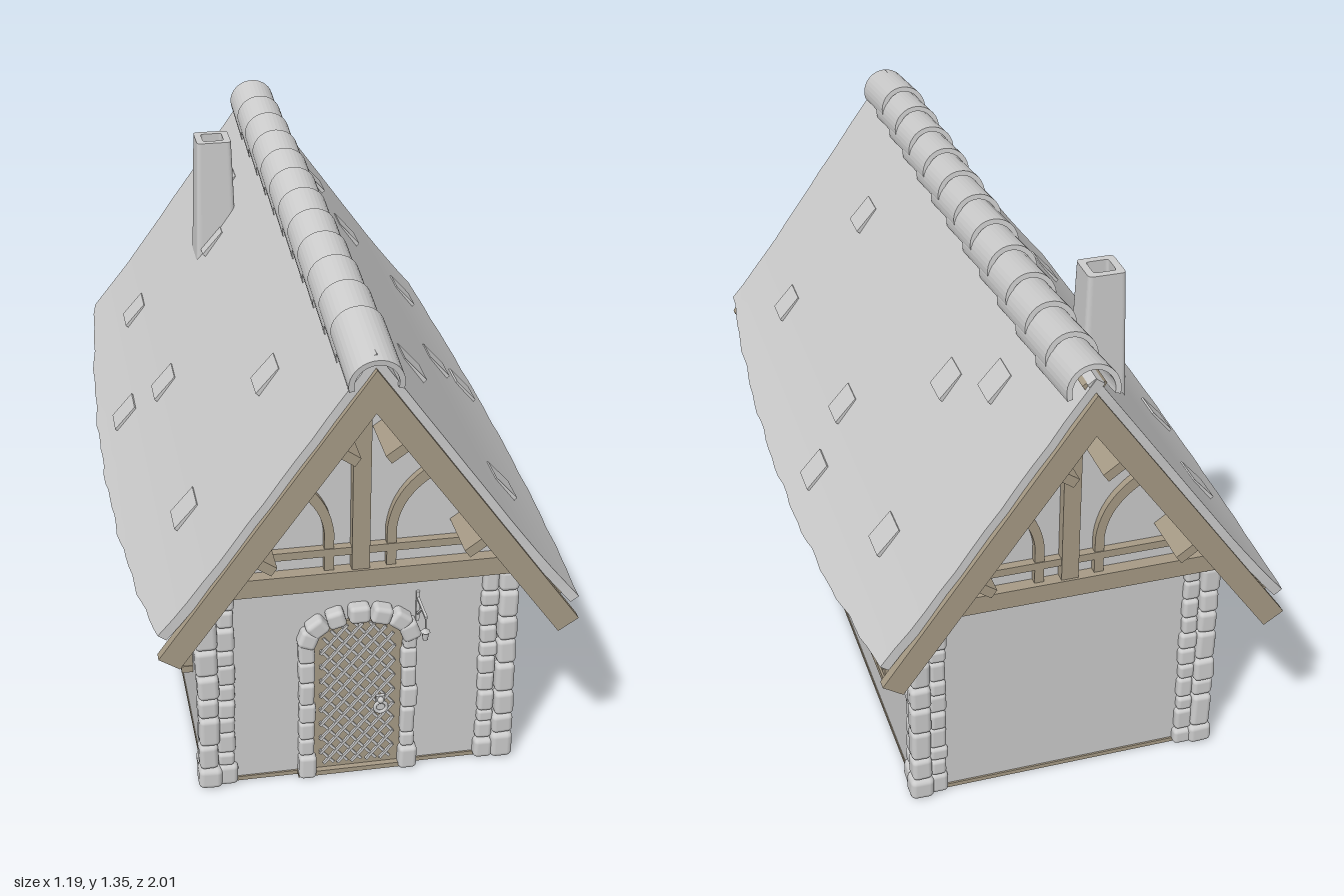
import * as THREE from 'three';
import { RoundedBoxGeometry } from 'three/addons/geometries/RoundedBoxGeometry.js';

const grey = new THREE.MeshStandardMaterial({ color: 0xcccccc });
const greyThin = new THREE.MeshStandardMaterial({ color: 0xcccccc, side: THREE.DoubleSide });
const wood = new THREE.MeshStandardMaterial({ color: 0xa69a85 });
const gold = new THREE.MeshStandardMaterial({ color: 0xbb9d62 });

let seed = 7;
const jitter = (a) => {
  seed = (seed * 16807) % 2147483647;
  return (seed / 2147483647 - 0.5) * 2 * a;
};

function add(parent, name, geometry, material, x = 0, y = 0, z = 0) {
  const mesh = new THREE.Mesh(geometry, material);
  mesh.name = name;
  mesh.position.set(x, y, z);
  parent.add(mesh);
  return mesh;
}
function group(parent, name) {
  const g = new THREE.Group();
  g.name = name;
  parent.add(g);
  return g;
}
const box = (w, h, d) => new THREE.BoxGeometry(w, h, d);
const extrude = (shape, depth) => new THREE.ExtrudeGeometry(shape, { depth, bevelEnabled: false, curveSegments: 10 });
const polygon = (pts) => new THREE.Shape(pts.map(([x, y]) => new THREE.Vector2(x, y)));

function stone(parent, x, y, z, w, h, d) {
  const r = Math.min(w, h, d) * 0.25;
  const m = add(parent, 'stone', new RoundedBoxGeometry(w + jitter(0.004), h, d + jitter(0.004), 2, r), grey,
    x + jitter(0.002), y, z + jitter(0.002));
  m.rotation.set(jitter(0.04), jitter(0.04), jitter(0.04));
  return m;
}
// A column of irregular stones between two heights
function stoneColumn(parent, x, z, w, d, y0, y1, count) {
  const cuts = [y0];
  for (let i = 1; i < count; i++) cuts.push(y0 + (y1 - y0) * (i + jitter(0.22)) / count);
  cuts.push(y1);
  for (let i = 0; i < count; i++) {
    const h = cuts[i + 1] - cuts[i], grow = i === 0 ? 0.008 : 0;
    stone(parent, x, cuts[i] + h / 2, z, w + grow, h - 0.001, d + grow);
  }
}

// Arched outlines
const archTop = (x, w, spring, rise) => spring + rise * Math.sqrt(Math.max(0, 1 - (x / w) ** 2));
function archPoints(w, spring, rise) {
  const pts = [];
  for (let i = 0; i <= 14; i++) {
    const a = Math.PI * i / 14;
    pts.push([w * Math.cos(a), spring + rise * Math.sin(a)]);
  }
  return pts;
}
const archShape = (w, y0, spring, rise) => polygon([[-w, y0], [w, y0], ...archPoints(w, spring, rise)]);

// Diagonal bars clipped to an arched opening
function lattice(parent, w, y0, spring, rise, z, step, bar, material) {
  const g = group(parent, 'lattice'), slope = 1.2;
  for (const s of [-1, 1]) {
    for (let c = y0 - w * slope; c < spring + rise + w * slope; c += step) {
      let a = null, b = null;
      for (let x = -w; x <= w; x += w / 40) {
        const y = c + s * slope * x;
        if (y > y0 && y < archTop(x, w, spring, rise)) { a ??= x; b = x; }
      }
      if (a === null || b - a < 0.008) continue;
      const m = add(g, 'latticeBar', box((b - a) * Math.hypot(1, slope), bar, bar), material,
        (a + b) / 2, c + s * slope * (a + b) / 2, z + s * bar * 0.3);
      m.rotation.z = s * Math.atan(slope);
    }
  }
}

// Roof: straight pitch with a flared eave that is longest at mid-length
const SLOPE = 1.4, NX = 0.814, NY = 0.581;
const roofY = (x) => 1.325 - SLOPE * x + 0.6 * Math.max(0, x - 0.35) ** 2;
function roofSlab(s, near, far, halfLength, inset, wobble) {
  const geo = new THREE.BoxGeometry(1, 1, 2, 14, 1, 40), p = geo.attributes.position;
  for (let i = 0; i < p.count; i++) {
    const u = 0.5 + s * p.getX(i), v = p.getZ(i);
    const off = p.getY(i) > 0 ? near : far;
    const reach = 0.535 + 0.055 * (1 - v * v) - inset + wobble * (Math.sin(v * 19) + Math.sin(v * 37 + s));
    const x = u * reach;
    const end = Math.abs(v) > 0.99 ? wobble * Math.sin(u * 31 + s) : 0;
    p.setXYZ(i, s * (x - NX * off), roofY(x) - NY * off, v * (halfLength + end));
  }
  geo.computeVertexNormals();
  return geo;
}

function gable(parent, name) {
  const g = group(parent, name);
  add(g, 'tieBeam', box(0.86, 0.052, 0.04), wood, 0, 0.624, 0.835);
  add(g, 'collarBeam', box(0.68, 0.022, 0.025), wood, 0, 0.703, 0.83);
  add(g, 'kingPost', box(0.046, 0.6, 0.03), wood, 0, 0.93, 0.833);
  for (const s of [-1, 1]) {
    const brace = new THREE.Shape();
    brace.moveTo(s * 0.068, 0.64);
    brace.lineTo(s * 0.068, 0.76);
    brace.quadraticCurveTo(s * 0.08, 0.87, s * 0.175, 0.93);
    brace.lineTo(s * 0.192, 0.905);
    brace.quadraticCurveTo(s * 0.102, 0.85, s * 0.093, 0.76);
    brace.lineTo(s * 0.093, 0.64);
    add(g, 'curvedBrace', extrude(brace, 0.025), wood, 0, 0, 0.815);
    add(g, 'bargeboard', extrude(polygon([[0, 1.288], [s * 0.535, 0.539], [s * 0.483, 0.505], [0, 1.175]]), 0.026),
      wood, 0, 0, 0.972);
    add(g, 'wallRafter', extrude(polygon([[0, 1.27], [s * 0.44, 0.655], [s * 0.39, 0.655], [0, 1.2]]), 0.025),
      wood, 0, 0, 0.815);
    for (const x of [0.085, 0.29]) {
      const m = add(g, 'purlinEnd', box(0.026, 0.11, 0.17), wood, s * (x - 0.003), 1.215 - SLOPE * x - 0.03, 0.89);
      m.rotation.z = -s * Math.atan(SLOPE);
    }
  }
  return g;
}

function windowUnit(parent, side, z) {
  const g = group(parent, side > 0 ? 'leftWindow' : 'rightWindow');
  const frame = archShape(0.085, 0.21, 0.455, 0.055);
  frame.holes.push(archShape(0.06, 0.235, 0.455, 0.042));
  add(g, 'windowFrame', extrude(frame, 0.03), wood);
  add(g, 'windowPane', extrude(archShape(0.062, 0.232, 0.455, 0.044), 0.008), gold);
  add(g, 'windowHood', extrude(polygon([...archPoints(0.092, 0.457, 0.075),
    ...archPoints(0.062, 0.457, 0.045).reverse()]), 0.06), wood);
  add(g, 'windowSill', box(0.175, 0.02, 0.036), wood, 0, 0.218, 0.018);
  lattice(g, 0.058, 0.236, 0.455, 0.04, 0.011, 0.026, 0.003, gold);
  for (const s of [-1, 1]) stoneColumn(g, s * 0.056, 0.014, 0.014, 0.02, 0.235, 0.455, 5);
  g.position.set(side * 0.405, 0, z);
  g.rotation.y = side * Math.PI / 2;
}

export function createModel() {
  seed = 7;
  const house = new THREE.Group();
  house.name = 'cottage';

  // Walls and floor
  add(house, 'walls', extrude(polygon([[-0.41, 0.006], [0.41, 0.006], [0.41, 0.7], [0, 1.27], [-0.41, 0.7]]), 1.64),
    grey, 0, 0, -0.82);
  add(house, 'floor', box(0.825, 0.012, 1.65), wood, 0, 0.006, 0);

  // Corner stonework
  const corners = group(house, 'cornerStones');
  for (const sx of [-1, 1]) for (const sz of [-1, 1]) {
    stoneColumn(corners, sx * 0.398, sz * 0.823, 0.055, 0.055, 0, 0.598, 8);
    stoneColumn(corners, sx * 0.35, sz * 0.815, 0.046, 0.05, 0, 0.598, 11);
    stoneColumn(corners, sx * 0.393, sz * 0.768, 0.05, 0.055, 0, 0.598, 11);
  }

  // Gable timbers at both ends
  gable(house, 'frontGable');
  gable(house, 'backGable').rotation.y = Math.PI;

  // Roof slopes with raised slates
  const roof = group(house, 'roof');
  const slates = [[0.155, -0.63], [0.225, -0.43], [0.42, -0.04], [0.53, -0.14], [0.45, -0.63], [0.21, 0.53], [0.44, 0.63]];
  for (const s of [-1, 1]) {
    add(roof, 'roofSlope', roofSlab(s, 0, 0.026, 0.983, 0, 0.002), grey);
    add(roof, 'roofLining', roofSlab(s, 0.024, 0.038, 0.972, 0.02, 0), wood);
    for (const [x, z] of slates) {
      const m = add(roof, 'slate', box(0.09, 0.012, 0.09), grey, s * (x - 0.02), roofY(x - 0.02) + 0.002, z);
      m.rotation.z = -s * (Math.atan(SLOPE) - 0.1);
    }
  }

  // Overlapping ridge tiles: thick half rings
  const half = new THREE.Shape();
  half.absarc(0, 0, 0.068, -0.25, Math.PI + 0.25, false);
  half.absarc(0, 0, 0.054, Math.PI + 0.25, -0.25, true);
  const tile = extrude(half, 0.235);
  const ridge = group(house, 'ridgeTiles');
  for (let i = 0; i < 12; i++) {
    const m = add(ridge, 'ridgeTile', tile, greyThin, 0, 1.284, 0.765 - i * 0.1577);
    m.rotation.x = 0.14;
    m.position.y += 0.0;
  }

  // Tapered hollow chimney
  const rounded = (Type, h, c) => {
    const p = new Type();
    p.moveTo(-h + c, -h); p.lineTo(h - c, -h); p.quadraticCurveTo(h, -h, h, -h + c);
    p.lineTo(h, h - c); p.quadraticCurveTo(h, h, h - c, h);
    p.lineTo(-h + c, h); p.quadraticCurveTo(-h, h, -h, h - c);
    p.lineTo(-h, -h + c); p.quadraticCurveTo(-h, -h, -h + c, -h);
    return p;
  };
  const flue = rounded(THREE.Shape, 0.066, 0.018);
  flue.holes.push(rounded(THREE.Path, 0.04, 0.012));
  const chimney = extrude(flue, 0.5).rotateX(-Math.PI / 2);
  const cp = chimney.attributes.position;
  for (let i = 0; i < cp.count; i++) {
    const k = 1 - 0.46 * cp.getY(i);
    cp.setX(i, cp.getX(i) * k);
    cp.setZ(i, cp.getZ(i) * k);
  }
  chimney.computeVertexNormals();
  add(house, 'chimney', chimney, grey, -0.19, 0.84, -0.485);

  // Side windows
  for (const side of [-1, 1]) for (const z of [-0.515, 0, 0.515]) windowUnit(house, side, z);

  // Arched door with lattice, handle and stone surround
  const door = group(house, 'door');
  add(door, 'doorPanel', extrude(archShape(0.118, 0.012, 0.42, 0.065), 0.012), wood, 0, 0, 0.815);
  add(door, 'doorStep', box(0.32, 0.014, 0.03), wood, 0, 0.009, 0.828);
  lattice(door, 0.1, 0.03, 0.42, 0.055, 0.83, 0.046, 0.007, grey);
  add(door, 'handlePlate', box(0.024, 0.045, 0.01), grey, 0.06, 0.22, 0.838);
  add(door, 'doorRing', new THREE.TorusGeometry(0.016, 0.005, 8, 16), grey, 0.06, 0.21, 0.846);
  add(door, 'doorKnob', new THREE.SphereGeometry(0.009, 12, 8), grey, 0.06, 0.232, 0.846);
  for (const s of [-1, 1]) stoneColumn(door, s * 0.136, 0.828, 0.04, 0.045, 0, 0.44, 7);
  for (let i = 0; i < 7; i++) {
    const a = Math.PI * (0.07 + 0.86 * i / 6);
    const m = stone(door, 0.138 * Math.cos(a), 0.425 + 0.083 * Math.sin(a), 0.83, 0.052, 0.05, 0.05);
    m.rotation.z = Math.atan2(Math.cos(a) * 0.083, -Math.sin(a) * 0.138);
  }

  // Hanging lantern beside the door
  const lantern = group(house, 'lantern');
  add(lantern, 'wallBar', box(0.009, 0.09, 0.008), grey, 0.157, 0.505, 0.824);
  add(lantern, 'arm', box(0.007, 0.007, 0.1), grey, 0.157, 0.53, 0.87);
  const strut = add(lantern, 'strut', box(0.006, 0.006, 0.075), grey, 0.157, 0.505, 0.85);
  strut.rotation.x = -0.75;
  add(lantern, 'chain', new THREE.CylinderGeometry(0.002, 0.002, 0.04, 6), grey, 0.157, 0.51, 0.915);
  add(lantern, 'lanternRoof', new THREE.ConeGeometry(0.014, 0.012, 6), grey, 0.157, 0.491, 0.915);
  add(lantern, 'lanternBody', new THREE.CylinderGeometry(0.01, 0.007, 0.024, 6), grey, 0.157, 0.473, 0.915);

  return house;
}
